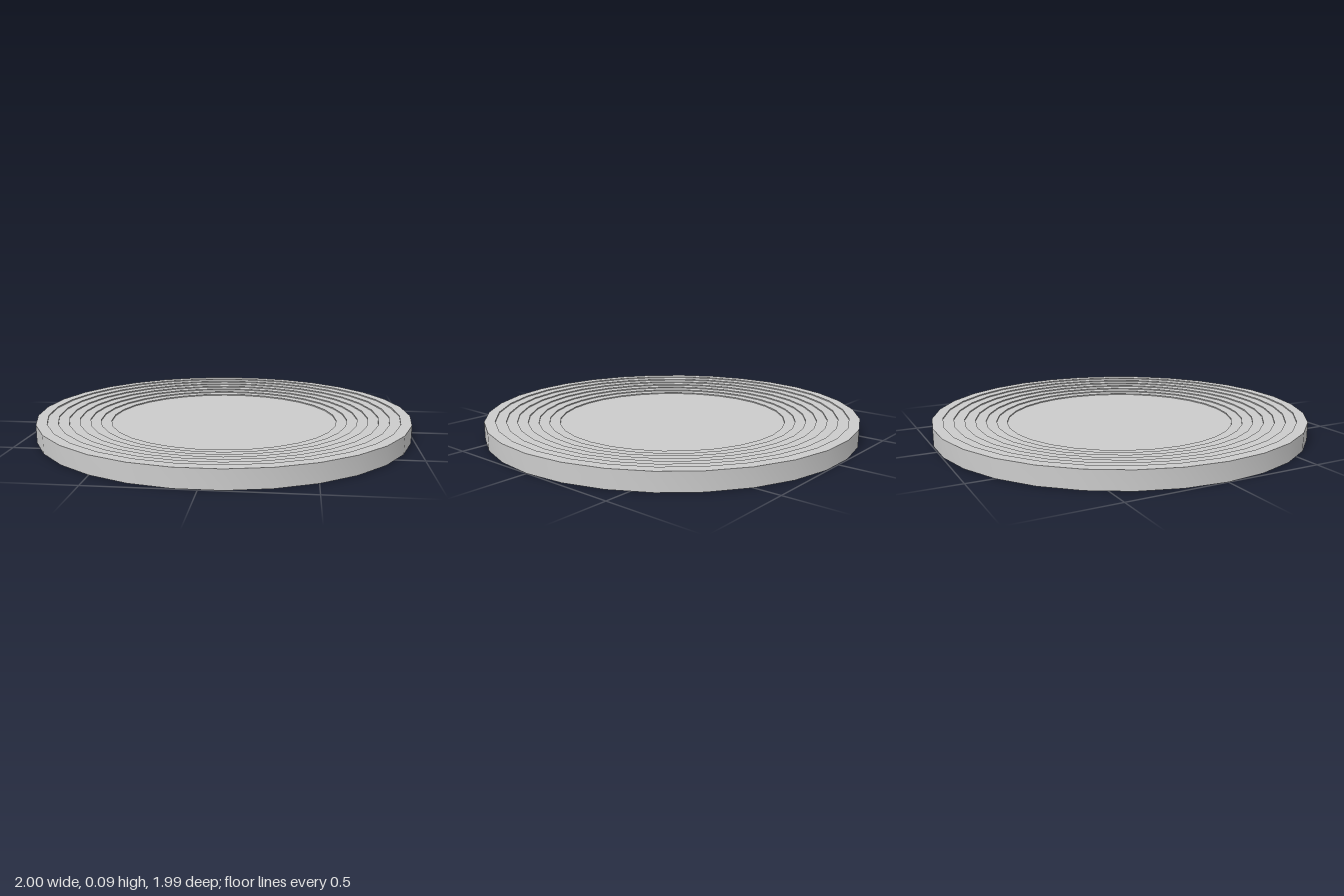
import * as THREE from 'three';
import { toCreasedNormals } from 'three/addons/utils/BufferGeometryUtils.js';

export function createModel() {
  const sides = 30, steps = 7;
  const height = 0.093, stepWidth = 0.0555, stepDrop = 0.0061;

  // Profile: underside, outer wall, then terraces descending to the floor
  const profile = [new THREE.Vector2(0, 0), new THREE.Vector2(1, 0), new THREE.Vector2(1, height)];
  for (let i = 1; i <= steps; i++) {
    const r = 1 - i * stepWidth;
    profile.push(new THREE.Vector2(r, height - (i - 1) * stepDrop));
    profile.push(new THREE.Vector2(r, height - i * stepDrop));
  }
  profile.push(new THREE.Vector2(0, height - steps * stepDrop));

  // Start on the x axis so that corners fall at x = -1 and x = 1
  const lathe = new THREE.LatheGeometry(profile, sides, Math.PI / 2);
  const dish = new THREE.Mesh(
    toCreasedNormals(lathe, Math.PI / 6),
    new THREE.MeshStandardMaterial({ color: 0xcccccc })
  );
  dish.name = 'steppedDish';

  const group = new THREE.Group();
  group.name = 'steppedRoundPlate';
  group.add(dish);
  return group;
}
